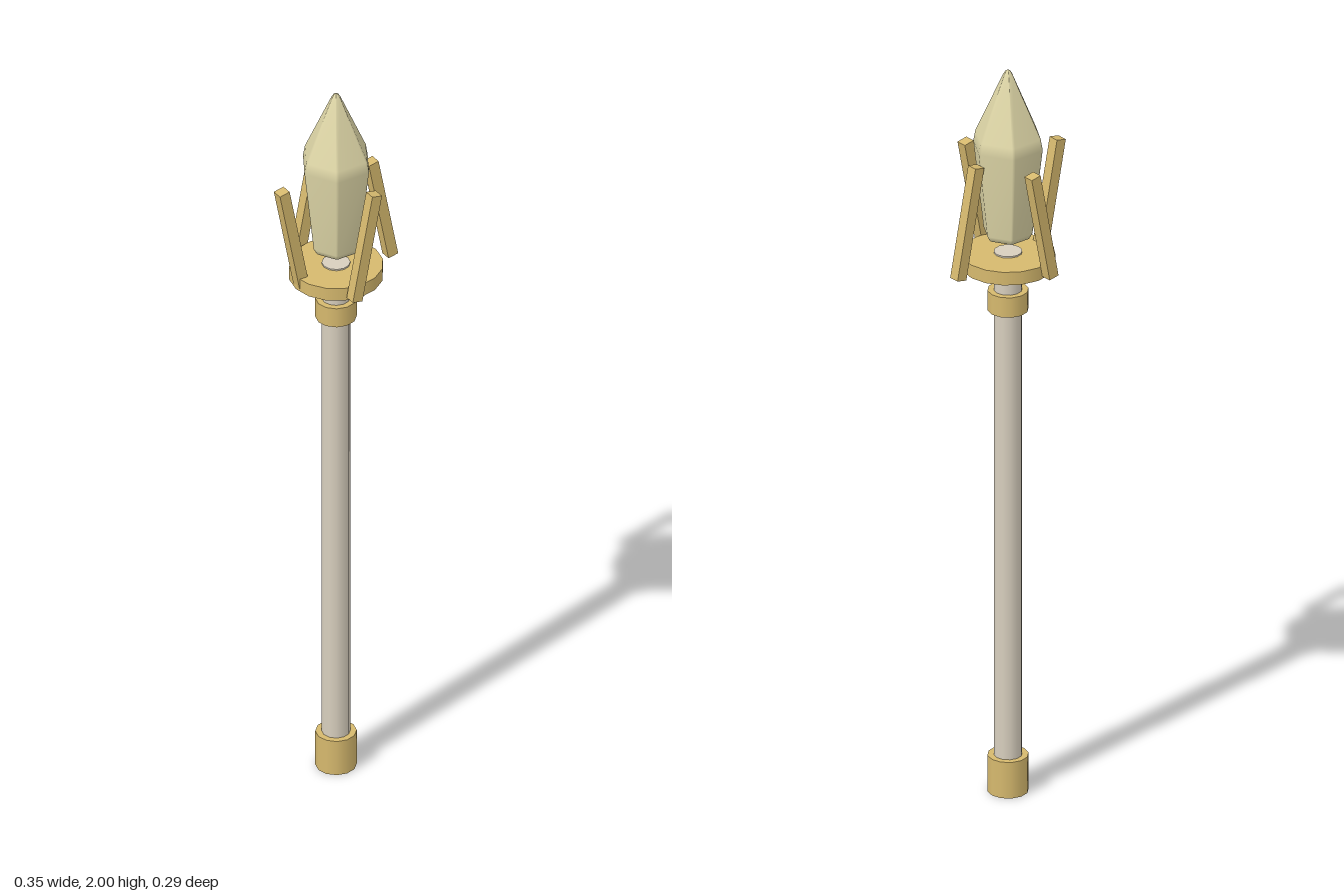
import * as THREE from 'three';

const material = (name, color) => {
  const m = new THREE.MeshStandardMaterial({ color });
  m.name = name;
  return m;
};

// Hexagonal loft with narrow bevels at the corners, from [y, radius] rings
function hexLoft(rings, bevel) {
  const positions = [];
  const index = [];
  const n = 12;
  for (const [y, r] of rings) {
    for (let i = 0; i < 6; i++) {
      for (const side of [-1, 1]) {
        const a = (i * Math.PI) / 3;
        const b = ((i + side) * Math.PI) / 3;
        positions.push(
          r * THREE.MathUtils.lerp(Math.cos(a), Math.cos(b), bevel), y,
          r * THREE.MathUtils.lerp(Math.sin(a), Math.sin(b), bevel));
      }
    }
  }
  for (let j = 0; j < rings.length - 1; j++) {
    for (let i = 0; i < n; i++) {
      const a = j * n + i;
      const b = j * n + ((i + 1) % n);
      index.push(a, a + n, b, b, a + n, b + n);
    }
  }
  const geometry = new THREE.BufferGeometry();
  geometry.setAttribute('position', new THREE.Float32BufferAttribute(positions, 3));
  geometry.setIndex(index);
  geometry.computeVertexNormals();
  return geometry;
}

export function createModel() {
  const group = new THREE.Group();
  group.name = 'crystalStaff';
  const gold = material('gold', 0xd6b96e);
  const ivory = material('ivory', 0xd8cfbe);
  const crystal = material('crystal', 0xddd5a6);

  const add = (name, geometry, mat) => {
    const mesh = new THREE.Mesh(geometry, mat);
    mesh.name = name;
    group.add(mesh);
    return mesh;
  };
  const cylinder = (name, radius, y0, y1, sides, mat) => {
    const mesh = add(name, new THREE.CylinderGeometry(radius, radius, y1 - y0, sides), mat);
    mesh.position.y = (y0 + y1) / 2;
  };

  // Shaft with its fittings
  cylinder('shaft', 0.036, 0.03, 1.497, 12, ivory);
  cylinder('pommel', 0.052, 0, 0.1, 12, gold);
  cylinder('collar', 0.052, 1.335, 1.39, 12, gold);
  cylinder('headPlate', 0.119, 1.457, 1.493, 16, gold);

  // Prongs: the side pair leans to -x, the front and back pair to +x
  const prong = new THREE.BoxGeometry(0.029, 0.3, 0.029);
  const lean = 0.195;
  for (const [name, x, z, tilt] of [
    ['leftProng', 0.132, 0, lean],
    ['rightProng', -0.132, 0, lean],
    ['frontProng', 0, 0.132, -lean],
    ['backProng', 0, -0.132, -lean],
  ]) {
    const mesh = add(name, prong, gold);
    mesh.position.set(x, 1.614, z);
    mesh.rotation.z = tilt;
  }

  // Floating crystal
  add('crystal', hexLoft([
    [1.526, 0], [1.532, 0.035], [1.54, 0.058], [1.555, 0.066],
    [1.79, 0.0935], [1.82, 0.088], [1.986, 0.013], [1.996, 0.007], [2, 0],
  ], 0.05), crystal);

  return group;
}
